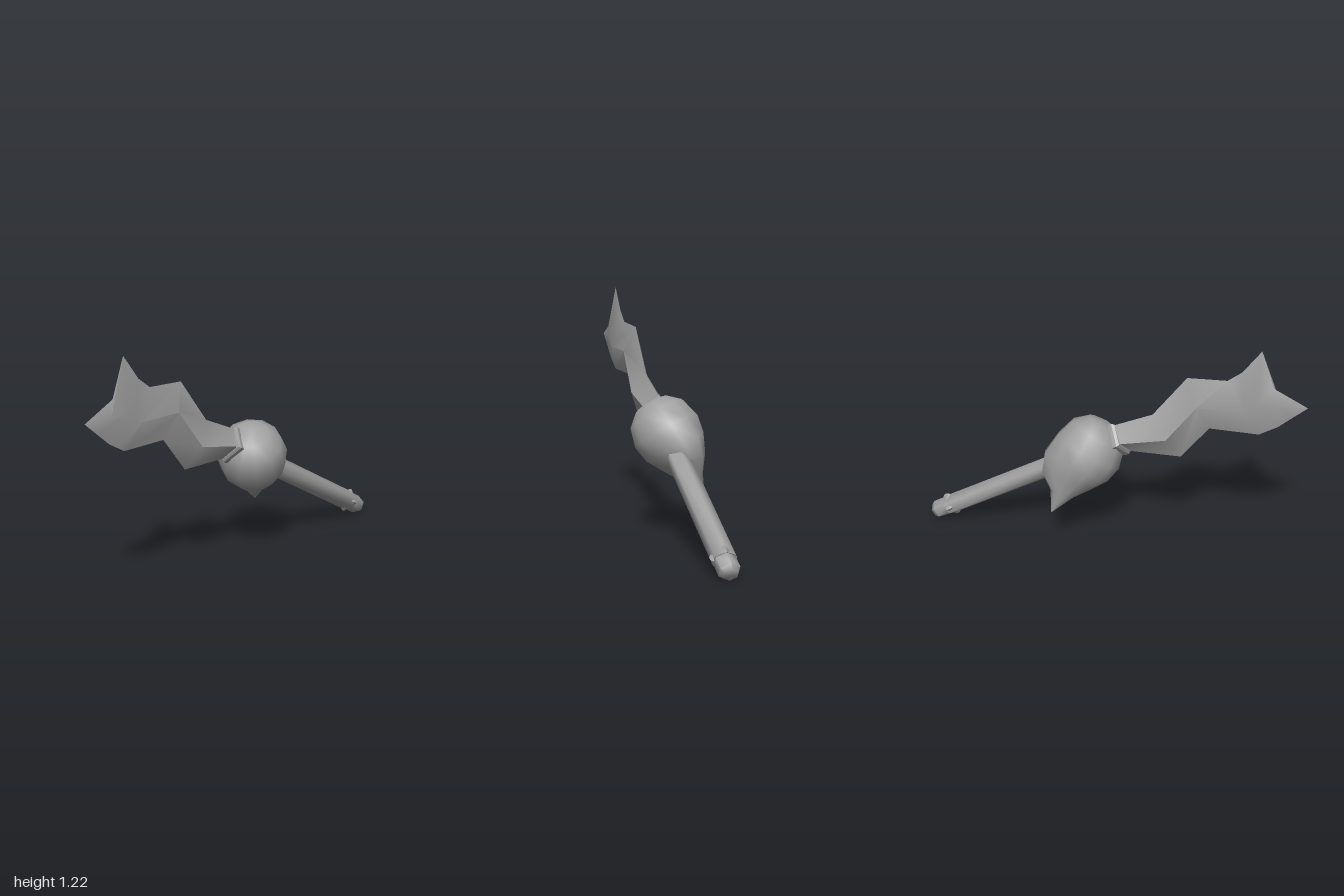
import * as THREE from 'three';
import { mergeVertices, toCreasedNormals } from 'three/addons/utils/BufferGeometryUtils.js';

export function createModel() {
  const model = new THREE.Group();
  const metal = new THREE.MeshStandardMaterial({ color: 0xa0a0a0 });
  metal.name = 'grey metal';

  function add(parent, name, geometry) {
    const mesh = new THREE.Mesh(geometry, metal);
    mesh.name = name;
    parent.add(mesh);
    return mesh;
  }

  // A turned part with few sides and one corner on the local x axis
  function turned(profile, sides, crease) {
    const points = profile.map(([r, y]) => new THREE.Vector2(r, y));
    const g = new THREE.LatheGeometry(points, sides).rotateY(Math.PI / 2);
    return toCreasedNormals(g, crease);
  }

  // Handle assembly: local +y runs up the shaft towards the blade
  const hilt = new THREE.Group();
  hilt.name = 'hilt';
  hilt.position.set(0.88, 0.095, 0);
  hilt.rotation.z = Math.PI / 3;
  model.add(hilt);

  const shaft = turned([[0, -0.02], [0.055, -0.02], [0.055, 0.8], [0, 0.8]], 6, 1.1);
  shaft.scale(1, 1, 1.09);
  add(hilt, 'handle', shaft);

  const cap = turned([[0, -0.115], [0.036, -0.115], [0.051, -0.09], [0.051, 0], [0, 0]], 6, 1.1);
  cap.scale(1, 1, 1.09);
  add(hilt, 'pommel', cap);

  add(hilt, 'pommelRing', turned(
    [[0, -0.022], [0.056, -0.022], [0.066, -0.008], [0.066, 0.008], [0.056, 0.022], [0, 0.022]], 4, 0.5));

  const collar = turned(
    [[0, -0.03], [0.085, -0.03], [0.096, -0.014], [0.096, 0.008], [0.085, 0.022], [0, 0.022]], 4, 0.5);
  collar.scale(1, 1, 0.84);
  add(hilt, 'bladeCollar', collar).position.y = 1.08;

  // Round guard drawn out into a spike, with a swollen corner beside the handle
  const teardrop = [[0, -0.18], [0.09, -0.16], [0.155, -0.1], [0.183, 0], [0.165, 0.09],
    [0.115, 0.17], [0.055, 0.26], [0, 0.385]].map(([r, y]) => new THREE.Vector2(r, y));
  let guard = new THREE.LatheGeometry(teardrop, 12);
  const spike = new THREE.Vector3(0.16, -0.32, -0.14).normalize();
  guard.applyQuaternion(new THREE.Quaternion().setFromUnitVectors(new THREE.Vector3(0, 1, 0), spike));
  const corner = new THREE.Vector3(0.24, -0.08, -0.07).normalize();
  const pos = guard.attributes.position;
  const v = new THREE.Vector3();
  for (let i = 0; i < pos.count; i++) {
    v.fromBufferAttribute(pos, i);
    const pull = Math.max(0, v.clone().normalize().dot(corner)) ** 6;
    v.addScaledVector(corner, 0.08 * pull);
    pos.setXYZ(i, v.x, v.y, v.z);
  }
  guard.deleteAttribute('uv');
  guard.deleteAttribute('normal');
  guard = toCreasedNormals(mergeVertices(guard, 1e-4), 1.1);
  add(model, 'guard', guard).position.set(0.1, 0.55, 0);

  // Wavy blade: each station has an upper edge, a ridge with half thickness, a lower edge
  const stations = [
    [[-0.02, 0.71], [-0.06, 0.64, 0.06], [-0.10, 0.575]],
    [[-0.23, 0.805], [-0.31, 0.695, 0.055], [-0.38, 0.58]],
    [[-0.40, 1.035], [-0.46, 0.90, 0.05], [-0.52, 0.765]],
    [[-0.60, 1.045], [-0.69, 0.90, 0.043], [-0.77, 0.765]],
    [[-0.67, 1.10], [-0.72, 0.93, 0.042], [-0.81, 0.79]],
    [[-0.76, 1.225], [-0.76, 0.96, 0.04], [-0.86, 0.82]],
    [[-0.83, 1.03], [-0.86, 0.954, 0.023], [-0.93, 0.883]],
    [[-1.0, 0.945], [-1.0, 0.945, 0], [-1.0, 0.945]],
  ];
  const verts = [];
  for (const [u, r, l] of stations) {
    verts.push(u[0], u[1], 0, r[0], r[1], r[2], l[0], l[1], 0, r[0], r[1], -r[2]);
  }
  const index = [];
  for (let s = 0; s < stations.length - 1; s++) {
    for (let k = 0; k < 4; k++) {
      const a = s * 4 + k, b = s * 4 + (k + 1) % 4;
      index.push(a, a + 4, b + 4);
      if (s < stations.length - 2) index.push(a, b + 4, b);
      else index[index.length - 1] = b; // last span closes to the point
    }
  }
  index.push(0, 1, 2, 0, 2, 3);
  const blade = new THREE.BufferGeometry();
  blade.setAttribute('position', new THREE.Float32BufferAttribute(verts, 3));
  blade.setIndex(index);
  add(model, 'blade', toCreasedNormals(blade, 0.65));

  return model;
}
